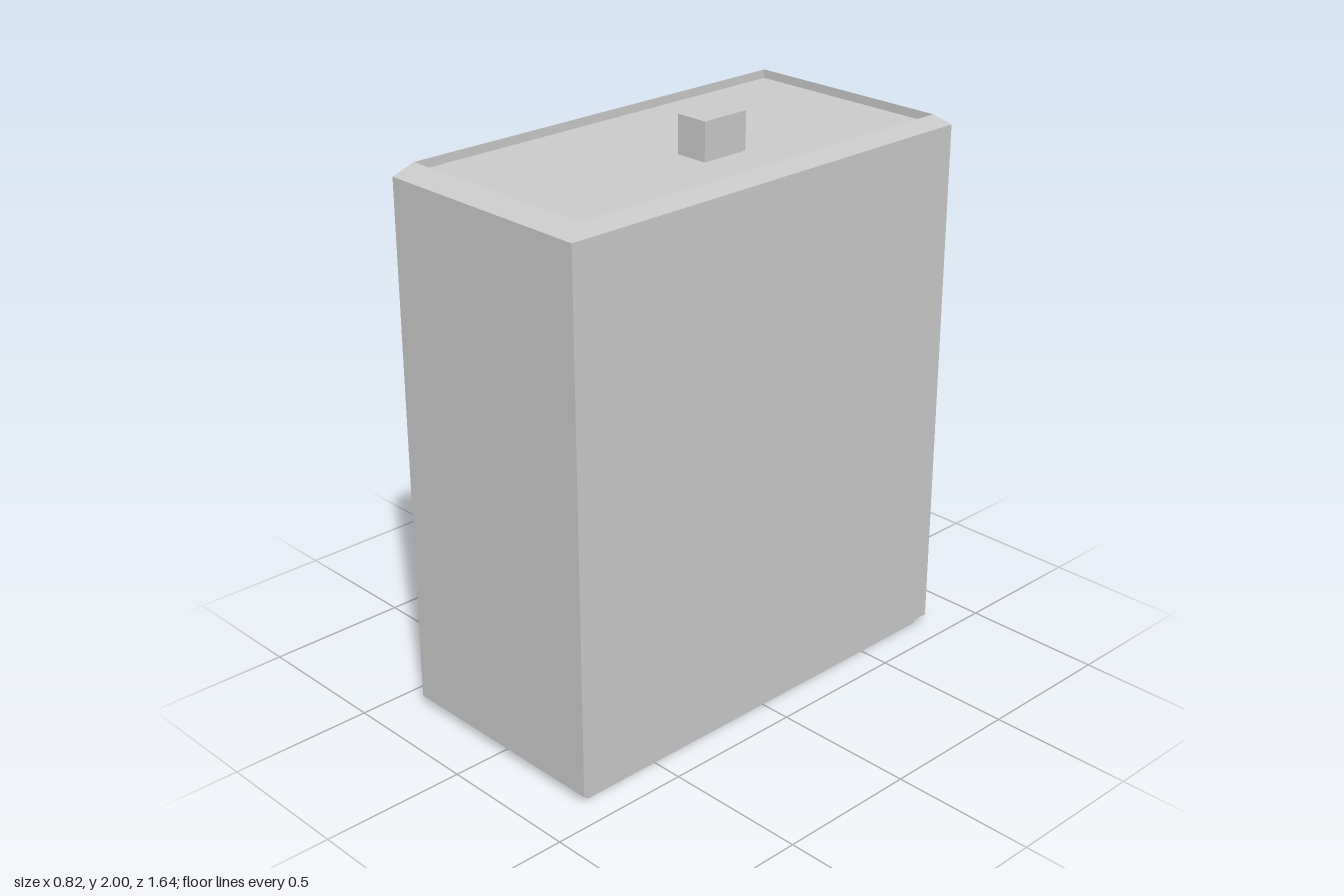
import * as THREE from 'three';

const material = new THREE.MeshStandardMaterial({ color: 0xcccccc, flatShading: true, side: THREE.DoubleSide });

// Sheet joining two rectangular rings, each given as [halfWidth, y, halfDepth]
function band(name, lower, upper) {
  const corners = ([w, y, d]) => [[w, y, d], [w, y, -d], [-w, y, -d], [-w, y, d]];
  const a = corners(lower), b = corners(upper);
  const points = [];
  for (let i = 0; i < 4; i++) {
    const j = (i + 1) % 4;
    points.push(...a[i], ...a[j], ...b[j], ...a[i], ...b[j], ...b[i]);
  }
  const geometry = new THREE.BufferGeometry();
  geometry.setAttribute('position', new THREE.Float32BufferAttribute(points, 3));
  geometry.computeVertexNormals();
  const mesh = new THREE.Mesh(geometry, material);
  mesh.name = name;
  return mesh;
}

export function createModel() {
  const group = new THREE.Group();
  group.name = 'building';

  // Cross-sections from the ground up
  const ground = [0.39, 0, 0.787];
  const plinthTop = [0.39, 0.03, 0.787];
  const wallFoot = [0.41, 0.03, 0.82];
  const wallTop = [0.41, 1.86, 0.82];
  const rim = [0.38, 1.9, 0.76];
  const roofEdge = [0.38, 1.87, 0.76];

  // Hollow shell, open underneath
  group.add(
    band('plinth', ground, plinthTop),
    band('baseLedge', plinthTop, wallFoot),
    band('walls', wallFoot, wallTop),
    band('slopedRim', wallTop, rim),
    band('parapetInside', rim, roofEdge),
  );

  // Sunken flat roof
  const roof = new THREE.Mesh(new THREE.PlaneGeometry(0.76, 1.52).rotateX(-Math.PI / 2), material);
  roof.name = 'roof';
  roof.position.y = 1.87;
  group.add(roof);

  // Small rooftop unit
  const unit = new THREE.Mesh(new THREE.BoxGeometry(0.118, 0.13, 0.178), material);
  unit.name = 'rooftopUnit';
  unit.position.set(0.107, 1.935, -0.023);
  group.add(unit);

  return group;
}
